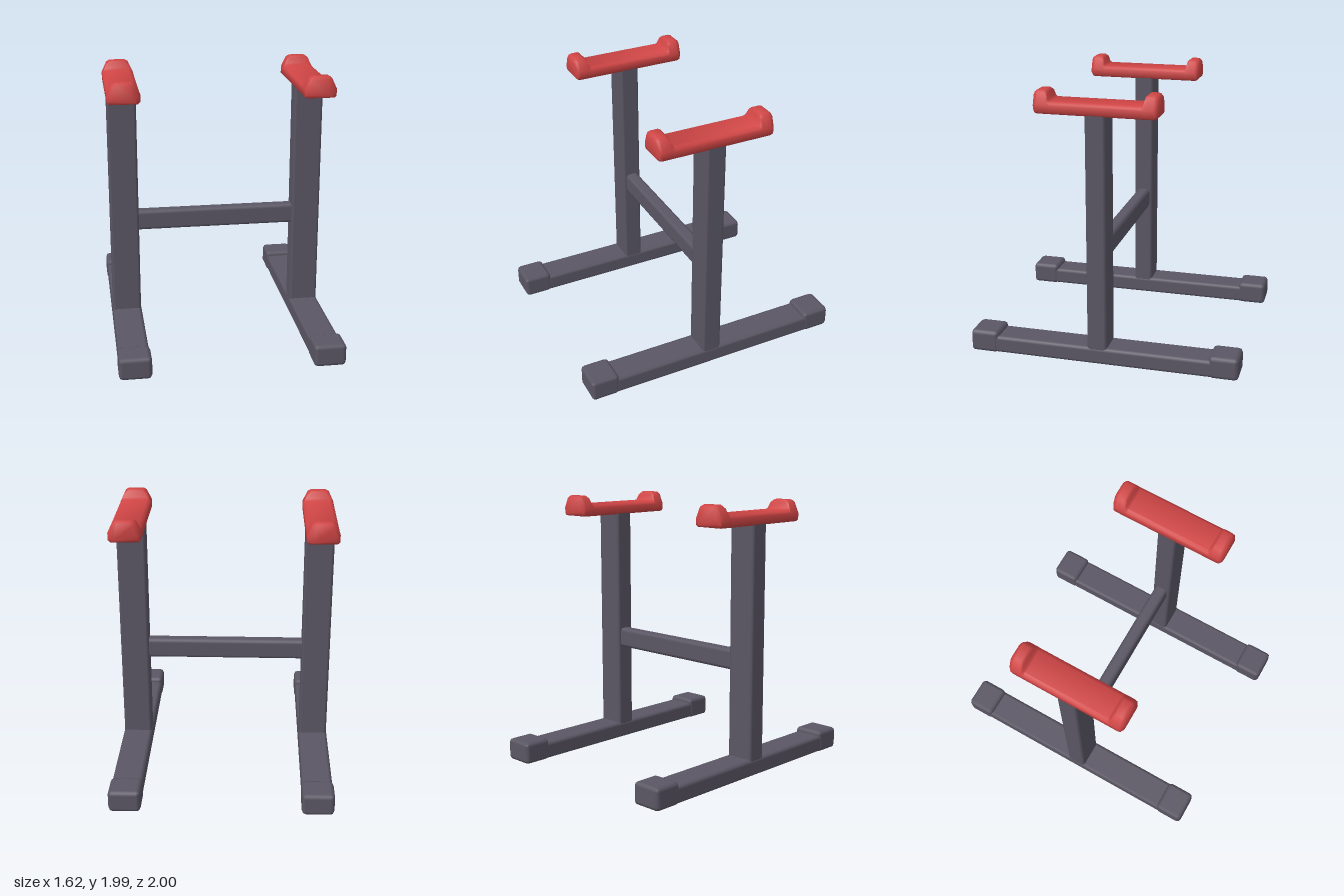
import * as THREE from 'three';
import { RoundedBoxGeometry } from 'three/addons/geometries/RoundedBoxGeometry.js';
import { toCreasedNormals } from 'three/addons/utils/BufferGeometryUtils.js';

const steel = new THREE.MeshStandardMaterial({ color: 0x5a5664 });
steel.name = 'dark grey steel';
const red = new THREE.MeshStandardMaterial({ color: 0xd04545 });
red.name = 'red padding';

const MID_Z = 0.03; // posts, crossbar and cradles sit slightly forward

// Bar with bevelled edges, given by its min and max corners
function bar(name, min, max, bevel) {
  const size = max.map((v, i) => v - min[i]);
  const mesh = new THREE.Mesh(new RoundedBoxGeometry(...size, 1, bevel), steel);
  mesh.position.set(...max.map((v, i) => (v + min[i]) / 2));
  mesh.name = name;
  return mesh;
}

// Cradle lofted along z; each station is [z, bottom, shoulder, top, half width, top half width]
function cradleGeometry() {
  const half = [
    [-0.4375, 1.85, 1.89, 1.972, 0.092, 0.055],
    [-0.422, 1.836, 1.896, 1.986, 0.113, 0.066],
    [-0.405, 1.834, 1.898, 1.99, 0.117, 0.068],
    [-0.36, 1.834, 1.898, 1.99, 0.117, 0.068],
    [-0.342, 1.834, 1.898, 1.978, 0.117, 0.073],
    [-0.333, 1.834, 1.896, 1.935, 0.117, 0.092],
    [-0.318, 1.834, 1.894, 1.92, 0.117, 0.1],
  ];
  const stations = [...half, ...half.slice().reverse().map(([z, ...rest]) => [-z, ...rest])];
  const positions = [];
  const rings = stations.map(([z, b, s, t, w, wt]) => {
    const side = [[w - 0.016, b], [w, b + 0.014], [w, s], [wt + 0.012, t - 0.014], [wt - 0.012, t]];
    return [...side, ...side.slice().reverse().map(([x, y]) => [-x, y])]
      .map(([x, y]) => [x, y, z]);
  });
  const n = rings[0].length;
  const tri = (a, b, c) => positions.push(...a, ...b, ...c);
  for (let k = 0; k < rings.length - 1; k++) {
    for (let i = 0; i < n; i++) {
      const j = (i + 1) % n;
      const [a, b, c, d] = [rings[k][i], rings[k][j], rings[k + 1][j], rings[k + 1][i]];
      tri(a, b, c);
      tri(a, c, d);
    }
  }
  // Flat ends
  const last = rings[rings.length - 1];
  for (let i = 1; i < n - 1; i++) {
    tri(rings[0][0], rings[0][i + 1], rings[0][i]);
    tri(last[0], last[i], last[i + 1]);
  }
  const geometry = new THREE.BufferGeometry();
  geometry.setAttribute('position', new THREE.Float32BufferAttribute(positions, 3));
  return toCreasedNormals(geometry, 0.9);
}

export function createModel() {
  const model = new THREE.Group();
  model.name = 'parallelStand';
  const cradle = cradleGeometry();

  for (const [side, x] of [['left', 0.695], ['right', -0.695]]) {
    const frame = new THREE.Group();
    frame.name = side + 'Frame';
    frame.position.x = x;

    // Floor bar with a thicker cap at each end
    frame.add(bar('baseBar', [-0.112, 0.004, -0.96], [0.112, 0.132, 0.96], 0.025));
    frame.add(bar('frontFootCap', [-0.117, 0, 0.785], [0.117, 0.166, 1], 0.03));
    frame.add(bar('backFootCap', [-0.117, 0, -1], [0.117, 0.166, -0.785], 0.03));

    // Upright
    frame.add(bar('post', [-0.107, 0.09, MID_Z - 0.073], [0.107, 1.87, MID_Z + 0.073], 0.02));

    // Red cradle with raised ends
    const top = new THREE.Mesh(cradle, red);
    top.name = 'cradle';
    top.position.z = MID_Z;
    frame.add(top);
    model.add(frame);
  }

  // Crossbar joining the posts
  model.add(bar('crossbar', [-0.64, 0.763, MID_Z - 0.05], [0.64, 0.918, MID_Z + 0.05], 0.028));
  return model;
}
